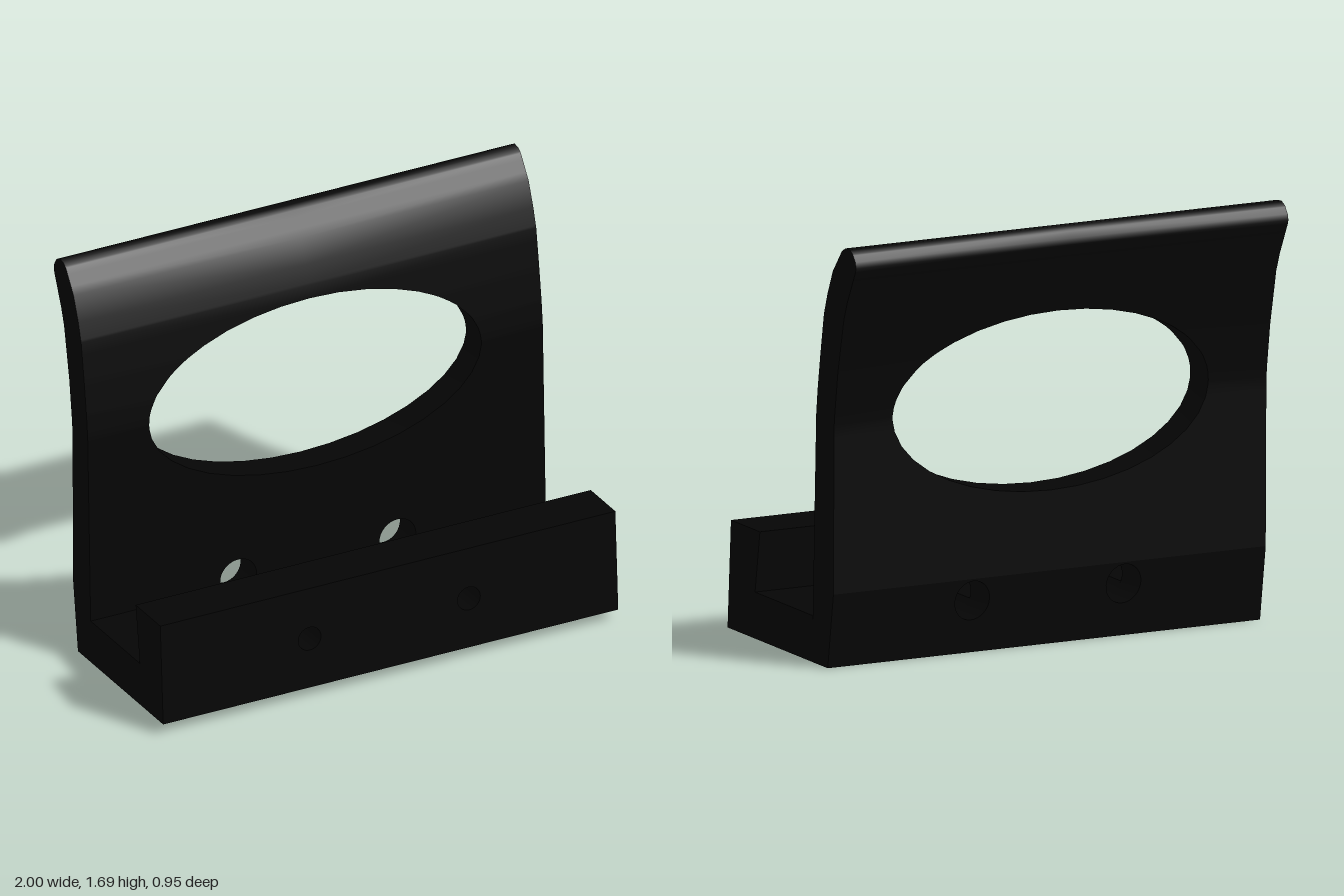
import * as THREE from 'three';
import { toCreasedNormals } from 'three/addons/utils/BufferGeometryUtils.js';

// Everything is laid out in (x, v, z); the tray leans, so y = v + LEAN * z.
const LEAN = 0.065;
const BOTTOM = 0.018, FLOOR = 0.2035, LIP_TOP = 0.4515, WALL_SPLIT = 0.32, TOP = 1.7226;
const DRILL_X = 0.35, DRILL_V = 0.2316, DRILL_R = 0.08, LIP_DRILL_R = 0.05;
const EYE_V = 1.006, EYE_A = 0.73, EYE_B = 0.365;

// Wall faces as [v, z] pairs from bottom to top
const WALL_FRONT = [[BOTTOM, -0.149], [1.012, -0.18], [1.112, -0.19], [1.254, -0.21], [1.425, -0.237],
  [1.507, -0.262], [1.61, -0.303], [1.704, -0.37], [1.72, -0.395], [TOP, -0.425]];
const WALL_BACK = [[BOTTOM, -0.265], [WALL_SPLIT, -0.307], [0.99, -0.312], [1.041, -0.317], [1.212, -0.34],
  [1.435, -0.385], [1.507, -0.41], [1.64, -0.47], [1.656, -0.475], [1.68, -0.47], [1.709, -0.45], [TOP, -0.425]];

// Piecewise linear lookup, continued past both ends
function lookup(table, v) {
  let i = 1;
  while (i < table.length - 1 && v > table[i][0]) i++;
  const [v0, z0] = table[i - 1], [v1, z1] = table[i];
  return z0 + (z1 - z0) * (v - v0) / (v1 - v0);
}

function rectangle(v0, v1) {
  return new THREE.Shape([[-1, v0], [1, v0], [1, v1], [-1, v1]].map(p => new THREE.Vector2(...p)));
}

function drill(shape, radius) {
  for (const side of [-1, 1]) {
    shape.holes.push(new THREE.Path().absarc(side * DRILL_X, DRILL_V, radius, 0, Math.PI * 2, true));
  }
  return shape;
}

// Extrudes an (x, v) outline between a back face and a front face
function plate(shape, back, front) {
  const geo = new THREE.ExtrudeGeometry(shape, { depth: 1, bevelEnabled: false, curveSegments: 16 });
  const p = geo.attributes.position;
  for (let i = 0; i < p.count; i++) {
    const v = p.getY(i);
    const z = THREE.MathUtils.lerp(lookup(back, v), lookup(front, v), p.getZ(i));
    p.setXYZ(i, p.getX(i), v + LEAN * z, z);
  }
  return toCreasedNormals(geo, 0.6);
}

// Half of the curled wall, with the oval opening as its inner edge
function halfWall() {
  const inner = v => EYE_A * Math.sqrt(Math.max(0, 1 - ((v - EYE_V) / EYE_B) ** 2));
  const levels = [...WALL_FRONT, ...WALL_BACK].map(p => p[0]).filter(v => v >= WALL_SPLIT);
  for (let i = 0; i <= 18; i++) levels.push(EYE_V - EYE_B * Math.cos(i * Math.PI / 18));
  levels.sort((a, b) => a - b);
  const rows = levels.filter((v, i) => i === 0 || v - levels[i - 1] > 1e-4).map(v => {
    const x = inner(v) < 0.001 ? 0 : inner(v);
    const f = lookup(WALL_FRONT, v), b = lookup(WALL_BACK, v);
    return [[x, f], [1, f], [1, b], [x, b]].map(([px, z]) => [px, v + LEAN * z, z]);
  });
  const pos = [];
  for (let i = 0; i < rows.length - 1; i++) {
    const lo = rows[i], hi = rows[i + 1];
    for (let j = 0; j < 4; j++) {
      const k = (j + 1) % 4;
      if (j === 3 && lo[0][0] === 0 && hi[0][0] === 0) continue; // no seam in the middle
      pos.push(...lo[j], ...lo[k], ...hi[k], ...lo[j], ...hi[k], ...hi[j]);
    }
  }
  const geo = new THREE.BufferGeometry();
  geo.setAttribute('position', new THREE.Float32BufferAttribute(pos, 3));
  return toCreasedNormals(geo, 0.6);
}

// Tray floor outline with two round grooves
function floorShape() {
  const a = Math.asin((DRILL_V - FLOOR) / DRILL_R);
  const s = new THREE.Shape();
  s.moveTo(-1, BOTTOM);
  s.lineTo(1, BOTTOM);
  s.lineTo(1, FLOOR);
  for (const side of [1, -1]) s.absarc(side * DRILL_X, DRILL_V, DRILL_R, -a, -Math.PI + a, true);
  s.lineTo(-1, FLOOR);
  s.closePath();
  return s;
}

export function createModel() {
  const group = new THREE.Group();
  const material = new THREE.MeshStandardMaterial({ color: 0x050505 });
  const add = (name, geo) => {
    const mesh = new THREE.Mesh(geo, material);
    mesh.name = name;
    group.add(mesh);
    return mesh;
  };

  // Front lip with narrow screw holes
  add('frontLip', plate(drill(rectangle(BOTTOM, LIP_TOP), LIP_DRILL_R),
    [[FLOOR, 0.272], [LIP_TOP, 0.236]], [[BOTTOM, 0.475], [LIP_TOP, 0.45]]));

  // Grooved tray floor
  add('trayFloor', plate(floorShape(), [[0, -0.154], [1, -0.154]], [[0, 0.3], [1, 0.3]]));

  // Lower wall with wide screw holes
  add('lowerWall', plate(drill(rectangle(BOTTOM, WALL_SPLIT), DRILL_R), WALL_BACK, WALL_FRONT));

  // Curled upper wall, mirrored around the oval opening
  const wall = halfWall();
  add('upperWallLeft', wall);
  add('upperWallRight', wall).scale.x = -1;

  return group;
}
